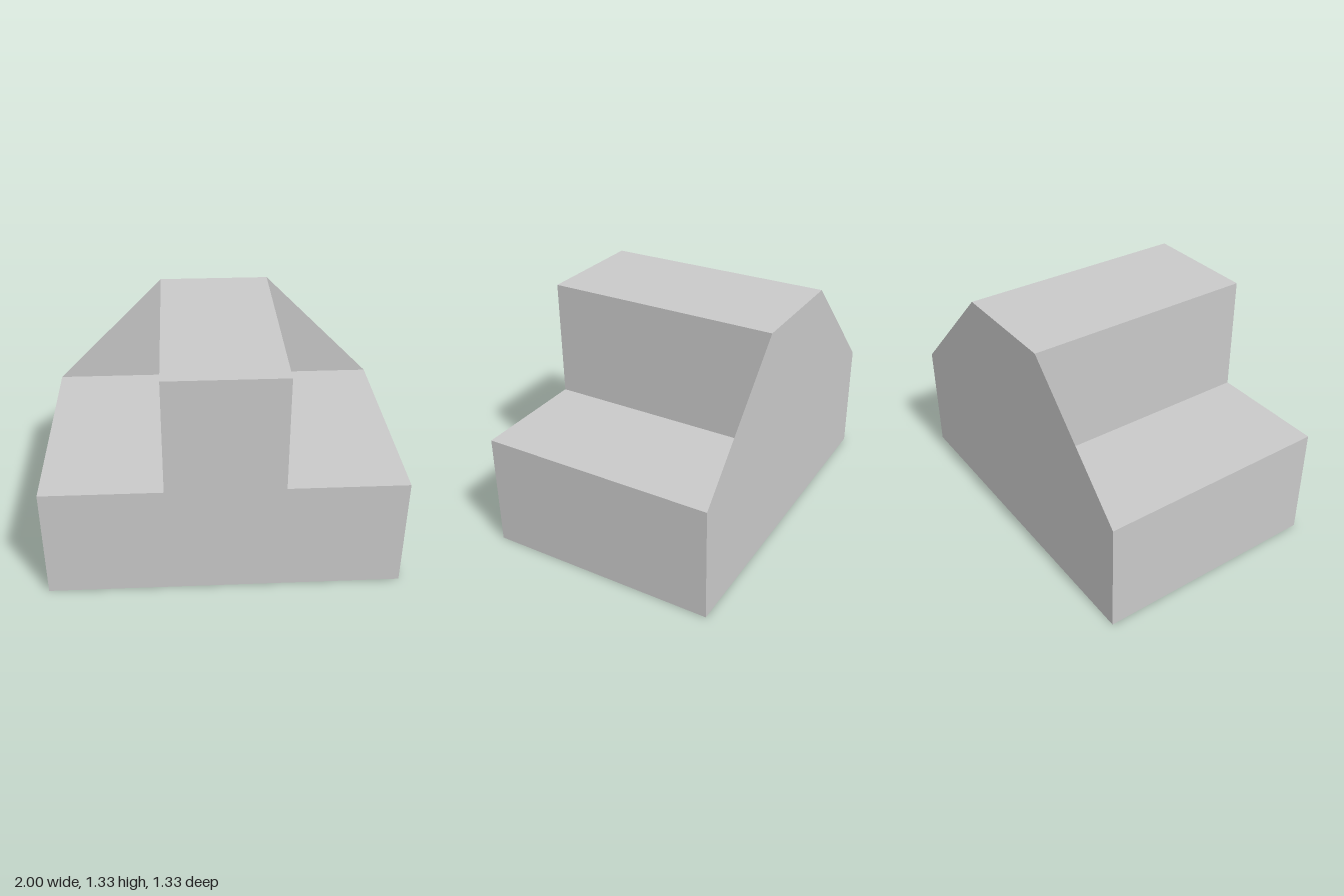
import * as THREE from 'three';

const HALF_W = 1, HALF_TOP = 0.33, STEP_Y = 0.66, TOP_Y = 1.33, HALF_D = 0.665;

function shapeFrom(points) {
  return new THREE.Shape(points.map(([x, y]) => new THREE.Vector2(x, y)));
}

export function createModel() {
  const group = new THREE.Group();
  group.name = 'steppedBlock';
  const grey = new THREE.MeshStandardMaterial({ color: 0xc8c8c8, side: THREE.DoubleSide });
  grey.name = 'light grey';

  // Solid body: wide base with a raised centre ridge, in one piece
  const bodyGeometry = new THREE.ExtrudeGeometry(shapeFrom([
    [-HALF_W, 0], [HALF_W, 0], [HALF_W, STEP_Y], [HALF_TOP, STEP_Y],
    [HALF_TOP, TOP_Y], [-HALF_TOP, TOP_Y], [-HALF_TOP, STEP_Y], [-HALF_W, STEP_Y],
  ]), { depth: HALF_D * 2, bevelEnabled: false });
  bodyGeometry.translate(0, 0, -HALF_D);
  const body = new THREE.Mesh(bodyGeometry, grey);
  body.name = 'body';
  group.add(body);

  // Paper-thin triangular gussets, flush with the back face
  for (const [side, name] of [[1, 'leftBackGusset'], [-1, 'rightBackGusset']]) {
    const corners = [[HALF_TOP, STEP_Y], [HALF_W, STEP_Y], [HALF_TOP, TOP_Y]];
    const gusset = new THREE.Mesh(
      new THREE.ShapeGeometry(shapeFrom(corners.map(([x, y]) => [side * x, y]))), grey);
    gusset.position.z = -HALF_D;
    gusset.name = name;
    group.add(gusset);
  }
  return group;
}
